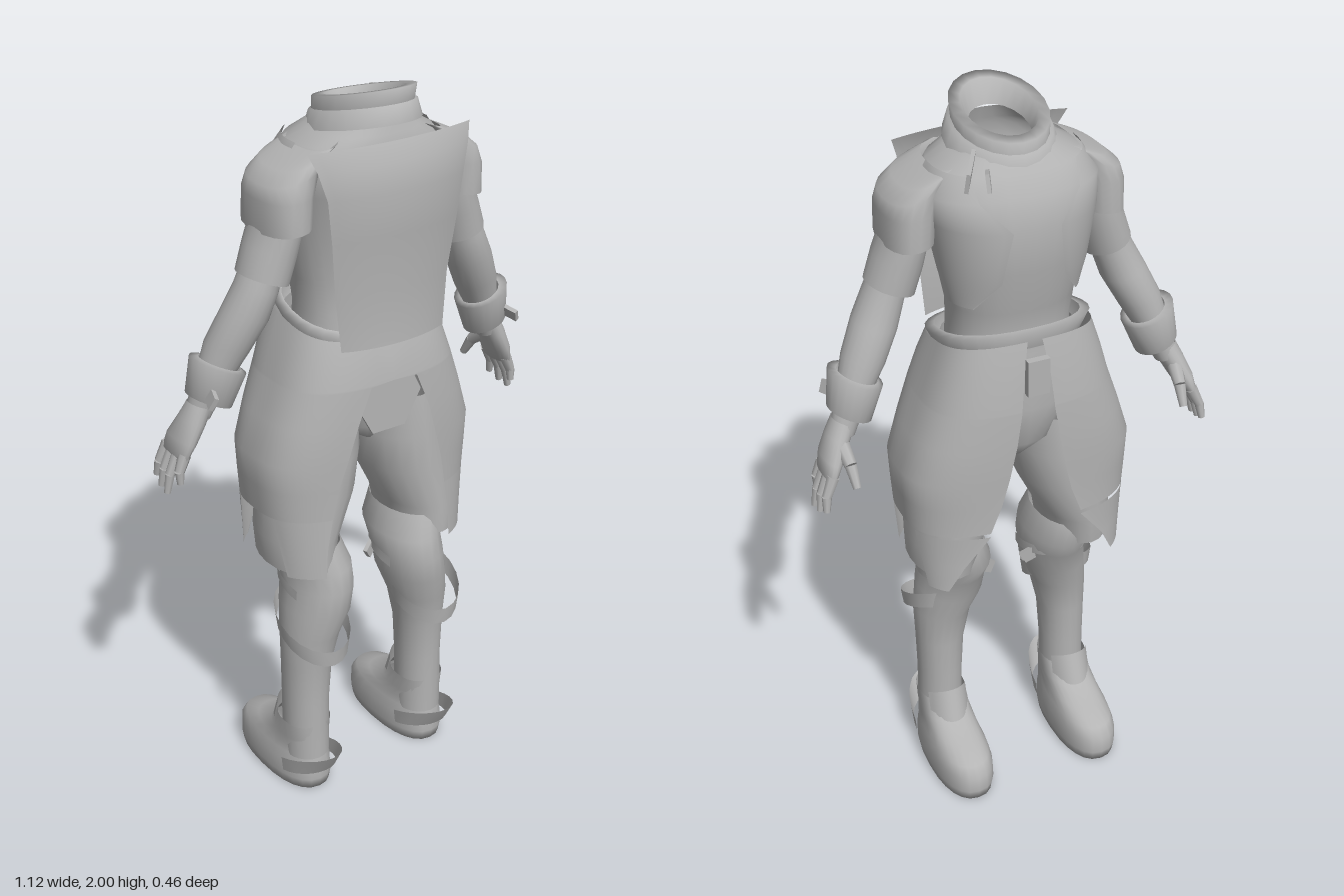
import * as THREE from 'three';

const cloth = new THREE.MeshStandardMaterial({ color: 0xb4b4b4, side: THREE.DoubleSide });
cloth.name = 'plain grey';

// Signed power: squares off an ellipse when p < 1
const sp = (v, p) => Math.sign(v) * Math.pow(Math.abs(v), p);

// Skin stacked rings [cx, y, cz, rx, rz, tiltX, tiltZ, from, to], bottom to top.
// Angle 0 points to +z and rises towards +x; from/to leave the ring open.
function loft(name, rings, { n = 20, p = 1, from, to } = {}) {
  const open = from !== undefined || rings[0].length > 7;
  const cols = open ? n + 1 : n, pos = [], idx = [];
  for (const [cx, y, cz, rx, rz, tx = 0, tz = 0, f = from ?? 0, t = to ?? Math.PI * 2] of rings) {
    for (let j = 0; j < cols; j++) {
      const a = f + (t - f) * j / n;
      const x = rx * sp(Math.sin(a), p), z = rz * sp(Math.cos(a), p);
      pos.push(cx + x, y + tx * x + tz * z, cz + z);
    }
  }
  for (let i = 0; i < rings.length - 1; i++) {
    for (let j = 0; j < n; j++) {
      const k = (j + 1) % cols, a = i * cols + j, b = i * cols + k;
      idx.push(a, b, b + cols, a, b + cols, a + cols);
    }
  }
  const g = new THREE.BufferGeometry();
  g.setAttribute('position', new THREE.Float32BufferAttribute(pos, 3));
  g.setIndex(idx);
  g.computeVertexNormals();
  return mesh(name, g);
}

function mesh(name, geometry) {
  const m = new THREE.Mesh(geometry, cloth);
  m.name = name;
  return m;
}

function box(name, size, at, rot = [0, 0, 0]) {
  const m = mesh(name, new THREE.BoxGeometry(...size));
  m.position.set(...at);
  m.rotation.set(...rot);
  return m;
}

// Tapered digit along a short path
function digit(name, pts, r0, r1) {
  const g = new THREE.Group();
  g.name = name;
  const v = pts.map(q => new THREE.Vector3(...q));
  for (let i = 0; i < v.length - 1; i++) {
    const d = v[i + 1].clone().sub(v[i]), last = i === v.length - 2;
    const m = mesh('segment', new THREE.CylinderGeometry(last ? r1 : (r0 + r1) / 2, i ? (r0 + r1) / 2 : r0, d.length(), 8));
    m.position.copy(v[i]).addScaledVector(d, 0.5);
    m.quaternion.setFromUnitVectors(new THREE.Vector3(0, 1, 0), d.normalize());
    g.add(m);
  }
  return g;
}

// Flat plate from a few outline points
function plate(name, pts, z) {
  const s = new THREE.Shape(pts.map(q => new THREE.Vector2(...q)));
  const m = mesh(name, new THREE.ExtrudeGeometry(s, { depth: 0.008, bevelEnabled: false }));
  m.position.z = z;
  return m;
}

function makeArm() {
  const g = new THREE.Group();
  g.name = 'arm';
  g.add(loft('shoulderCap', [
    [0.255, 1.68, 0.055, 0.063, 0.115, -0.1], [0.25, 1.76, 0.055, 0.066, 0.115, -0.1],
    [0.235, 1.81, 0.055, 0.072, 0.108, -0.3], [0.2, 1.845, 0.055, 0.07, 0.1, -0.35],
    [0.15, 1.87, 0.055, 0.04, 0.09, -0.3]], { p: 0.85 }));
  g.add(loft('sleeve', [
    [0.298, 1.55, 0.055, 0.062, 0.075, 0.35], [0.275, 1.62, 0.055, 0.062, 0.08, 0.3],
    [0.25, 1.7, 0.055, 0.058, 0.085, 0.1], [0.24, 1.78, 0.055, 0.05, 0.08]]));
  g.add(loft('forearm', [
    [0.46, 1.2, -0.005, 0.03, 0.035, 0.4], [0.425, 1.29, 0.01, 0.04, 0.042, 0.4],
    [0.385, 1.38, 0.025, 0.055, 0.06, 0.3], [0.345, 1.46, 0.045, 0.058, 0.063, 0.3],
    [0.315, 1.53, 0.055, 0.052, 0.06, 0.3], [0.29, 1.6, 0.055, 0.045, 0.055, 0.3]]));
  g.add(loft('bracer', [
    [0.43, 1.25, 0.01, 0.042, 0.045, 0.45], [0.435, 1.242, 0.01, 0.056, 0.062, 0.45],
    [0.41, 1.335, 0.02, 0.068, 0.074, 0.45], [0.405, 1.337, 0.02, 0.05, 0.055, 0.45]]));
  g.add(box('bracerTail', [0.012, 0.035, 0.07], [0.462, 1.28, 0.07], [0.2, 0.3, 0.4]));
  g.add(loft('palm', [
    [0.518, 1.09, -0.028, 0.004, 0.045, 0.4, 0], [0.515, 1.1, -0.027, 0.018, 0.058, 0.4],
    [0.5, 1.14, -0.018, 0.026, 0.058, 0.4], [0.475, 1.19, -0.006, 0.03, 0.045, 0.4],
    [0.455, 1.23, 0, 0.03, 0.036, 0.4]]));
  const tips = [[0.53, 1.035, 0.02], [0.55, 1.0, -0.015], [0.547, 1.005, -0.05], [0.54, 1.02, -0.085]];
  tips.forEach((t, i) => g.add(digit('finger', [
    [0.512, 1.11, 0.015 - i * 0.028], [(0.518 + t[0]) / 2 + 0.006, (1.1 + t[1]) / 2, (0.015 - i * 0.028 + t[2]) / 2], t], 0.017, 0.009)));
  g.add(digit('thumb', [[0.475, 1.18, -0.03], [0.468, 1.14, -0.08], [0.465, 1.09, -0.112]], 0.022, 0.011));
  return g;
}

function makeLeg() {
  const g = new THREE.Group();
  g.name = 'leg';
  g.add(loft('trouserLeg', [
    [0.195, 0.72, 0.02, 0.09, 0.14], [0.19, 0.8, 0.015, 0.1, 0.145], [0.155, 0.92, 0.01, 0.125, 0.145],
    [0.137, 1.03, 0.01, 0.122, 0.145], [0.125, 1.15, 0.01, 0.11, 0.135]]));
  g.add(loft('bootShaft', [
    [0.195, 0.1, 0.06, 0.063, 0.07], [0.193, 0.28, 0.058, 0.063, 0.072], [0.19, 0.4, 0.06, 0.068, 0.076],
    [0.18, 0.5, 0.064, 0.08, 0.09], [0.16, 0.58, 0.06, 0.09, 0.115], [0.15, 0.65, 0.055, 0.088, 0.125],
    [0.148, 0.71, 0.03, 0.088, 0.14], [0.165, 0.78, 0.02, 0.08, 0.125]]));
  g.add(loft('foot', [
    [0.195, 0, -0.05, 0.001, 0.001], [0.195, 0.0, -0.05, 0.08, 0.178], [0.195, 0.03, -0.05, 0.085, 0.184],
    [0.195, 0.075, -0.05, 0.083, 0.182], [0.195, 0.105, -0.042, 0.076, 0.168], [0.195, 0.13, -0.01, 0.07, 0.132],
    [0.195, 0.16, 0.03, 0.068, 0.095], [0.195, 0.21, 0.052, 0.067, 0.076]], { p: 0.85, n: 24 }));
  // Flaring guards at the heel and instep
  g.add(loft('heelGuard', [[0.195, 0.045, 0.06, 0.076, 0.1, 0, 0.3], [0.195, 0.09, 0.06, 0.08, 0.14, 0, 0.38]],
    { from: -1.6, to: 1.6, n: 12 }));
  g.add(loft('instepGuard', [[0.195, 0.13, 0.045, 0.073, 0.12, 0, -0.1], [0.195, 0.21, 0.055, 0.07, 0.09, 0, -0.45]],
    { from: 2.2, to: Math.PI * 2 - 2.2, n: 12 }));
  // Slanting knee straps
  g.add(loft('kneeStrap', [[0.185, 0.5, 0.085, 0.093, 0.108, 0.05, -0.5], [0.185, 0.55, 0.085, 0.1, 0.113, 0.05, -0.5]]));
  g.add(loft('upperStrap', [[0.152, 0.63, 0.05, 0.094, 0.12, 0, -0.25], [0.152, 0.66, 0.05, 0.094, 0.125, 0, -0.25]],
    { from: 1.2, to: 5.1, n: 14 }));
  g.add(box('strapEnd', [0.06, 0.035, 0.012], [0.07, 0.64, 0], [0, 0.4, 0.6]));
  return g;
}

// Half of the long split coat skirt, with tails parted at the side
function makeSkirt() {
  const p = 0.7, g = new THREE.Group();
  g.name = 'coatSkirt';
  const atX = (x, rx) => Math.asin(Math.pow(x / rx, 1 / p));
  const atZ = (z, rz) => Math.acos(Math.pow(z / rz, 1 / p));
  // Rows of y, rx, rz, opening half width at +z and at -z, tilt
  const upper = [
    [0.89, 0.312, 0.19, 0.18, 0.13], [0.97, 0.318, 0.19, 0.165, 0.1], [1.05, 0.322, 0.193, 0.14, 0.08],
    [1.15, 0.29, 0.196, 0.11, 0.06], [1.245, 0.257, 0.192, 0.07, 0.045], [1.25, 0.255, 0.192, 0, 0.045],
    [1.33, 0.23, 0.182, 0, 0.035, -0.1], [1.4, 0.205, 0.165, 0, 0.02, -0.2]];
  g.add(loft('skirtPanel', upper.map(([y, rx, rz, b, f, t = 0]) =>
    [0, y, 0.005, rx, rz, 0, t, atX(b, rx), Math.PI - atX(f, rx)]), { p, n: 28 }));
  // Rows of y, rx, rz, opening at +z and -z, side notch half width
  const tails = [[0.72, 0.3, 0.2, 0.2, 0.24, 0.11], [0.8, 0.305, 0.195, 0.195, 0.2, 0.095], [0.89, 0.312, 0.19, 0.18, 0.13, 0.08]];
  g.add(loft('rearTail', tails.map(([y, rx, rz, b, , s]) =>
    [0, y, 0.005, rx, rz, 0, 0, atX(b, rx), atZ(s, rz)]), { p, n: 10 }));
  g.add(loft('foreTail', tails.map(([y, rx, rz, , f, s]) =>
    [0, y, 0.005, rx, rz, 0, 0.06, Math.PI - atZ(s, rz), Math.PI - atX(f, rx)]), { p, n: 10 }));
  return g;
}

export function createModel() {
  const root = new THREE.Group();
  root.name = 'headlessOutfit';

  root.add(loft('torso', [
    [0, 1.34, 0.01, 0.165, 0.135], [0, 1.42, 0.01, 0.16, 0.125], [0, 1.5, 0, 0.165, 0.13],
    [0, 1.62, -0.005, 0.19, 0.15], [0, 1.74, 0.005, 0.21, 0.17], [0, 1.81, 0.025, 0.225, 0.165],
    [0, 1.86, 0.035, 0.19, 0.148], [0, 1.885, 0.045, 0.14, 0.132], [0, 1.92, 0.05, 0.1, 0.115]], { p: 0.88, n: 28 }));
  root.add(loft('pelvis', [
    [0, 1.04, 0.01, 0.02, 0.08], [0, 1.1, 0.01, 0.13, 0.13], [0, 1.22, 0.01, 0.19, 0.155],
    [0, 1.38, 0.01, 0.18, 0.145]]));
  root.add(loft('waistband', [
    [0, 1.365, 0.01, 0.185, 0.155, 0, -0.25], [0, 1.415, 0.01, 0.21, 0.17, 0, -0.25],
    [0, 1.42, 0.01, 0.185, 0.15, 0, -0.25]], { p: 0.85, n: 28 }));

  // Curved cape panel, standing clear of the body
  root.add(loft('capePanel', [
    [0, 1.36, 0.1, 0.23, 0.115], [0, 1.5, 0.1, 0.25, 0.108], [0, 1.65, 0.1, 0.275, 0.125],
    [0, 1.76, 0.1, 0.295, 0.13], [0, 1.83, 0.095, 0.325, 0.122], [0, 1.875, 0.085, 0.35, 0.11]]
    .map((r) => [...r, 0, 0, -0.74, 0.74]), { n: 18 }));
  root.add(plate('rearFlap', [[-0.07, 1.25], [-0.1, 1.19], [-0.05, 1.1], [0.05, 1.1], [0.1, 1.19], [0.07, 1.25]], 0.165));
  root.add(box('buckle', [0.06, 0.1, 0.02], [0, 1.34, -0.178]));

  // Tilted collar scarf with loose ends
  root.add(loft('collarBase', [
    [0, 1.885, 0.05, 0.14, 0.155, 0, 0.2], [0, 1.93, 0.05, 0.125, 0.145, 0, 0.22], [0, 1.93, 0.05, 0.09, 0.11, 0, 0.22]]));
  root.add(loft('collarBand', [
    [0, 1.915, 0.05, 0.115, 0.14, 0, 0.25], [0, 1.965, 0.055, 0.118, 0.145, 0, 0.25],
    [0, 1.965, 0.055, 0.09, 0.115, 0, 0.25], [0, 1.91, 0.05, 0.075, 0.095, 0, 0.25]]));
  root.add(box('scarfEnd', [0.01, 0.05, 0.12], [0.14, 1.885, -0.095], [-0.1, -0.5, 0.1]));
  root.add(box('scarfEnd', [0.01, 0.045, 0.09], [0.1, 1.86, -0.11], [0.3, -0.4, 0]));

  // Mirrored halves
  const half = new THREE.Group();
  half.name = 'leftHalf';
  half.add(makeArm(), makeLeg(), makeSkirt());
  half.add(loft('jacketFront', [
    [0, 1.52, 0, 0.178, 0.143, 0, 0, 1.75, 2.3], [0, 1.6, -0.003, 0.195, 0.157, 0, 0, 1.6, 2.75],
    [0, 1.74, 0.003, 0.218, 0.178, 0, 0, 1.5, 2.9], [0, 1.81, 0.025, 0.232, 0.174, 0, 0, 1.5, 2.6],
    [0, 1.865, 0.035, 0.194, 0.156, 0, 0, 1.5, 2.4]], { p: 0.88, n: 14 }));
  const right = half.clone();
  right.name = 'rightHalf';
  right.scale.x = -1;
  root.add(half, right);
  return root;
}
